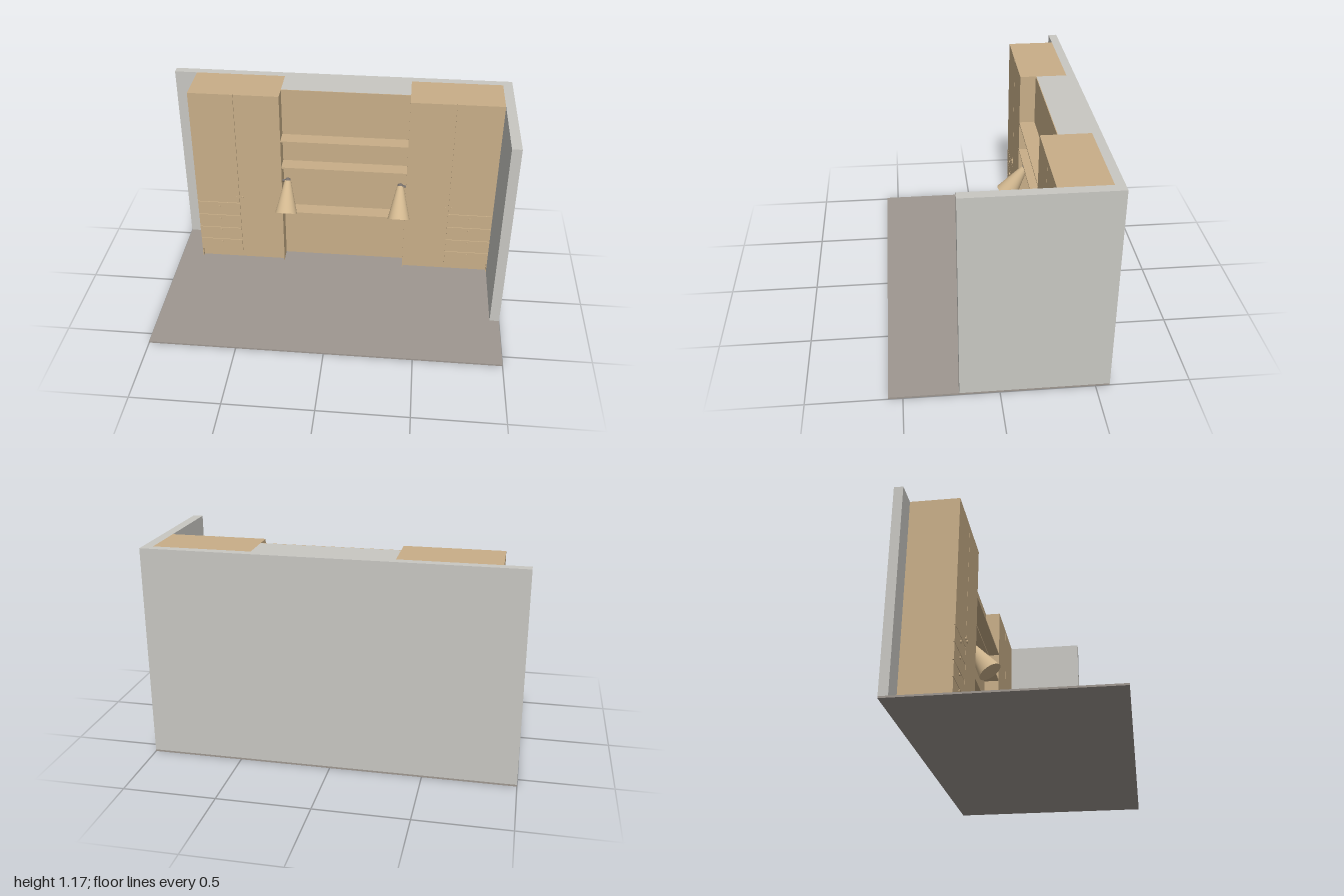
import * as THREE from 'three';

const mat = (name, color) => {
  const m = new THREE.MeshStandardMaterial({ color });
  m.name = name;
  return m;
};

export function createModel() {
  const wood = mat('light wood', 0xc8ae88);
  const wall = mat('wall grey', 0xc8c7c2);
  const carpet = mat('floor taupe', 0x9e9790);
  const shade = mat('lamp cream', 0xd0b68e);
  const metal = mat('mount grey', 0x77706c);

  const root = new THREE.Group();
  root.name = 'fittedRoom';

  // Box given by its extents on each axis
  const box = (name, m, [x0, x1], [y0, y1], [z0, z1], parent = root) => {
    const mesh = new THREE.Mesh(new THREE.BoxGeometry(x1 - x0, y1 - y0, z1 - z0), m);
    mesh.position.set((x0 + x1) / 2, (y0 + y1) / 2, (z0 + z1) / 2);
    mesh.name = name;
    parent.add(mesh);
    return mesh;
  };

  const TOP = 1.175, BASE = 0.01, BACK = -0.525, FRONT = -0.255;
  const INNER_L = -0.335, INNER_R = 0.415;

  // Floor and walls, with a chimney breast between the cabinets
  box('floor', carpet, [-1, 1], [0, BASE], [-0.575, 0.575]);
  box('backWall', wall, [-1, 1], [BASE, TOP], [-0.575, BACK]);
  box('sideWall', wall, [0.945, 1], [BASE, TOP], [BACK, 0.21]);
  box('chimneyBreast', wall, [INNER_L, INNER_R], [BASE, TOP], [BACK, -0.349]);
  box('centrePanel', wood, [INNER_L, INNER_R], [BASE, TOP], [-0.349, -0.345]);

  // Shelves
  for (const y of [0.38, 0.7, 0.88])
    box('shelf', wood, [INNER_L, INNER_R], [y - 0.004, y + 0.004], [-0.345, FRONT]);

  // Cabinet: x0..x1 overall, drawers on one side of the split
  const knobGeo = new THREE.CylinderGeometry(0.008, 0.008, 0.006, 16).rotateX(Math.PI / 2);
  const cabinet = (name, x0, x1, split, drawersLeft) => {
    const g = new THREE.Group();
    g.name = name;
    root.add(g);
    const body = FRONT - 0.007, gap = 0.002, kick = 0.065;
    box('carcass', wood, [x0, x1], [kick, TOP], [BACK, body], g);
    box('toeKick', wood, [x0 + 0.005, x1 - 0.005], [BASE, kick], [BACK, body - 0.01], g);
    box('sideFoot', wood, [x0, x0 + 0.005], [BASE, kick], [BACK, FRONT], g);
    box('sideFoot', wood, [x1 - 0.005, x1], [BASE, kick], [BACK, FRONT], g);

    const left = [x0, split - gap], right = [split + gap, x1];
    const [drawerX, doorX] = drawersLeft ? [left, right] : [right, left];
    const panel = (n, xs, y0, y1) => box(n, wood, xs, [y0, y1], [body, FRONT], g);
    panel('tallDoor', doorX, kick, TOP);
    panel('upperDoor', drawerX, 0.43 + gap, TOP);

    const knob = (x, y) => {
      const k = new THREE.Mesh(knobGeo, wood);
      k.name = 'knob';
      k.position.set(x, y, FRONT + 0.003);
      g.add(k);
    };
    const levels = [kick, 0.15, 0.24, 0.335, 0.43];
    for (let i = 0; i < 4; i++) {
      panel('drawer', drawerX, levels[i] + (i ? gap : 0), levels[i + 1] - gap);
      knob((drawerX[0] + drawerX[1]) / 2, 0.13 + 0.09 * i);
    }
    knob(split - 0.018, 0.475);
    knob(split + 0.018, 0.475);
  };
  cabinet('rightCabinet', -0.865, INNER_L, -0.6, true);
  cabinet('leftCabinet', INNER_R, 0.945, 0.675, false);

  // Reading lamps, tilted forward and fixed to the cabinet sides
  const lamp = (name, x, sideX) => {
    const g = new THREE.Group();
    g.name = name;
    g.position.set(x, 0.593, -0.29);
    const cone = new THREE.Mesh(new THREE.CylinderGeometry(0.019, 0.067, 0.2, 32), shade);
    cone.name = 'lampShade';
    cone.position.y = -0.1;
    const tilt = new THREE.Group();
    tilt.name = 'lampHead';
    tilt.rotation.x = -0.58;
    tilt.add(cone);
    const joint = new THREE.Mesh(new THREE.SphereGeometry(0.018, 20, 14), metal);
    joint.name = 'lampJoint';
    const reach = sideX - x;
    const arm = new THREE.Mesh(new THREE.CylinderGeometry(0.007, 0.007, Math.abs(reach), 12), metal);
    arm.name = 'lampArm';
    arm.rotation.z = Math.PI / 2;
    arm.position.x = reach / 2;
    g.add(tilt, joint, arm);
    root.add(g);
  };
  lamp('rightLamp', -0.303, INNER_L);
  lamp('leftLamp', 0.38, INNER_R);

  return root;
}
